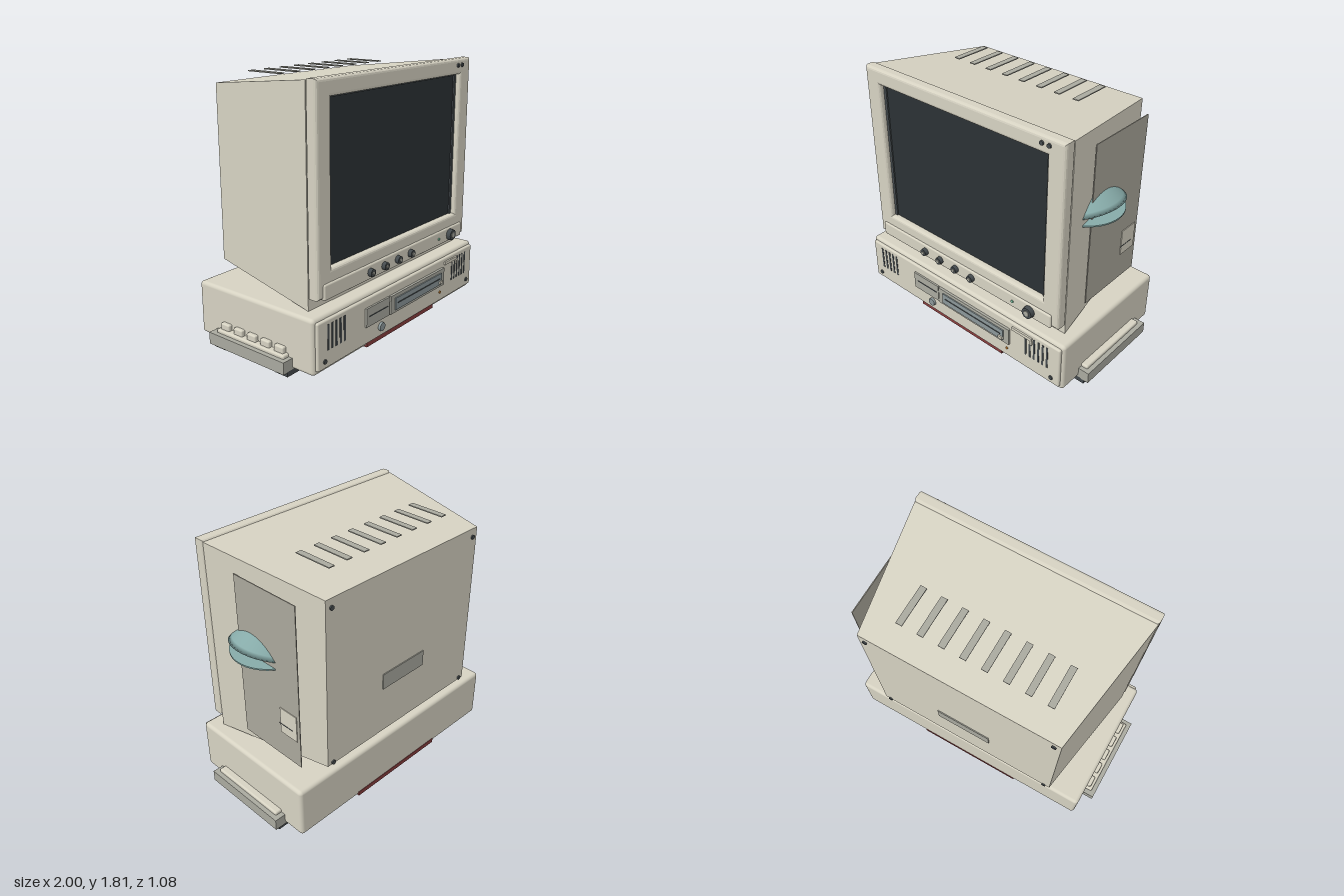
import * as THREE from 'three';
import { RoundedBoxGeometry } from 'three/addons/geometries/RoundedBoxGeometry.js';

export function createModel() {
  const group = new THREE.Group();
  const mat = (color, side = THREE.FrontSide) => new THREE.MeshStandardMaterial({ color, side });
  const beige = mat(0xd6d2c2), grey = mat(0xa9a99f), panelGrey = mat(0xaaa79b, THREE.DoubleSide);
  const dark = mat(0x454b4e), glass = mat(0x2b3134), slate = mat(0x8b9799), red = mat(0x853d3d);
  const teal = mat(0x86aaa8, THREE.DoubleSide), green = mat(0x7fc4a4), orange = mat(0xd08a3c);

  const add = (name, geometry, material, x = 0, y = 0, z = 0) => {
    const mesh = new THREE.Mesh(geometry, material);
    mesh.name = name;
    mesh.position.set(x, y, z);
    group.add(mesh);
    return mesh;
  };
  // Boxes given by their [min, max] on each axis, sharp or rounded
  const box = (name, m, [x0, x1], [y0, y1], [z0, z1], r = 0) => {
    const s = [x1 - x0, y1 - y0, z1 - z0];
    const g = r ? new RoundedBoxGeometry(...s, 3, r) : new THREE.BoxGeometry(...s);
    return add(name, g, m, (x0 + x1) / 2, (y0 + y1) / 2, (z0 + z1) / 2);
  };
  // Disc or knob whose axis runs along z
  const knob = (name, m, x, y, z, r, depth, sides = 20) =>
    add(name, new THREE.CylinderGeometry(r * 0.92, r, depth, sides).rotateX(Math.PI / 2), m, x, y, z);

  // Monitor shell: a box tapered towards the back
  const shell = new THREE.BoxGeometry(2, 2, 2);
  const p = shell.attributes.position;
  for (let i = 0; i < p.count; i++) {
    const front = p.getZ(i) > 0, top = p.getY(i) > 0;
    p.setXYZ(i, p.getX(i) * (front ? 0.835 : 0.69),
      top ? (front ? 1.8 : 1.7) : (front ? 0.41 : 0.495), front ? 0.37 : -0.53);
  }
  shell.computeVertexNormals();
  add('monitorShell', shell, beige);

  // Bezel with bevelled edges around the screen opening
  const rect = (s, x0, x1, y0, y1) => {
    s.moveTo(x0, y0); s.lineTo(x1, y0); s.lineTo(x1, y1); s.lineTo(x0, y1); s.closePath();
    return s;
  };
  const face = rect(new THREE.Shape(), -0.82, 0.82, 0.515, 1.79);
  face.holes.push(rect(new THREE.Path(), -0.73, 0.73, 0.65, 1.72));
  add('bezel', new THREE.ExtrudeGeometry(face, {
    depth: 0.045, bevelThickness: 0.02, bevelSize: 0.02, bevelSegments: 3,
  }), beige, 0, 0, 0.39);
  box('screen', glass, [-0.73, 0.73], [0.64, 1.73], [0.38, 0.41]);
  for (const s of [-1, 1]) box('screenFrameSide', dark, [s * 0.7 - 0.012, s * 0.7 + 0.012], [0.65, 1.72], [0.4, 0.42]);
  box('screenFrameTop', dark, [-0.7, 0.7], [1.69, 1.71], [0.4, 0.42]);

  // Control strip
  box('controlStrip', beige, [-0.795, 0.79], [0.487, 0.59], [0.38, 0.468], 0.012);
  for (let i = 0; i < 4; i++) {
    knob('controlKnob', dark, -0.347 + i * 0.151, 0.537, 0.48, 0.028, 0.03);
    knob('knobCap', grey, -0.347 + i * 0.151, 0.537, 0.497, 0.012, 0.006);
  }
  knob('powerKnob', dark, 0.62, 0.537, 0.482, 0.043, 0.036, 12);
  knob('powerKnobCap', grey, 0.62, 0.537, 0.5, 0.024, 0.006, 6);
  knob('monitorLight', green, 0.475, 0.537, 0.47, 0.011, 0.01);
  for (const x of [0.672, 0.725]) knob('bezelButton', dark, x, 1.765, 0.458, 0.015, 0.014);

  // Top vents, rear badge and rear screws
  for (let i = 0; i < 8; i++) {
    const x = -0.53 + i * 0.145;
    box('topVent', grey, [x - 0.022, x + 0.022], [1.772, 1.779], [-0.372, -0.092]);
  }
  box('rearBadge', grey, [-0.2, 0.195], [0.845, 0.96], [-0.537, -0.52]);
  for (const x of [-0.645, 0.645]) for (const y of [0.51, 1.64])
    knob('rearScrew', dark, x, y, -0.534, 0.016, 0.012, 12);

  // Side panel with label
  box('sidePanel', panelGrey, [0.806, 0.812], [0.495, 1.67], [-0.415, 0.125]);
  box('sideLabel', beige, [0.81, 0.817], [0.69, 0.88], [-0.39, -0.24]);
  box('labelSlot', dark, [0.816, 0.819], [0.755, 0.76], [-0.35, -0.23]);

  // Domed side visor, tilted upwards, above a thin disc
  const dome = [new THREE.Vector2(0, 0)];
  for (let i = 0; i <= 14; i++) {
    const t = 1 - i / 14;
    dome.push(new THREE.Vector2(0.27 * t, 0.206 * (1 - t * t)));
  }
  add('sideVisor', new THREE.LatheGeometry(dome, 48), teal, 0.663, 1.155, 0).rotation.z = 0.29;
  add('visorDisc', new THREE.CylinderGeometry(0.262, 0.262, 0.01, 48), teal, 0.663, 1.15, 0);

  // Neck between the monitor and the base
  add('neck', new THREE.CylinderGeometry(0.075, 0.075, 0.1, 16), dark, 0, 0.44, 0);
  const pad = add('neckPad', new THREE.SphereGeometry(0.065, 20, 10, 0, Math.PI * 2, 0, Math.PI / 2), red, 0, 0.4, -0.215);
  pad.scale.y = 0.65;

  // Base unit and its front plate
  box('baseUnit', beige, [-0.92, 0.92], [0.04, 0.41], [-0.52, 0.48], 0.025);
  box('basePlate', beige, [-0.9, 0.9], [0.07, 0.387], [0.44, 0.5], 0.012);
  box('bottomPlate', red, [-0.4, 0.395], [0.034, 0.068], [-0.523, 0.485]);
  add('bottomDisc', new THREE.CylinderGeometry(0.2, 0.2, 0.006, 32), dark, 0, 0.034, 0);

  // Front vents and latch
  for (let i = 0; i < 5; i++) {
    const x = -0.805 + i * 0.039;
    box('leftVent', dark, [x - 0.008, x + 0.008], [0.185, 0.355], [0.49, 0.503]);
  }
  for (let i = 0; i < 6; i++) {
    const x = 0.62 + i * 0.036;
    box('rightVent', dark, [x - 0.007, x + 0.007], [0.185, i < 2 ? 0.325 : 0.355], [0.49, 0.503]);
  }
  box('latchBar', beige, [0.505, 0.675], [0.337, 0.36], [0.49, 0.512]);
  box('latchEnd', beige, [0.66, 0.677], [0.305, 0.337], [0.49, 0.512]);

  // Drive bays
  box('smallBay', grey, [-0.44, -0.19], [0.195, 0.325], [0.49, 0.513]);
  box('smallBaySlot', dark, [-0.41, -0.21], [0.262, 0.268], [0.5, 0.516]);
  box('largeBay', grey, [-0.18, 0.485], [0.195, 0.325], [0.49, 0.518]);
  box('driveFace', slate, [-0.135, 0.44], [0.215, 0.3], [0.5, 0.526]);
  box('driveSlot', dark, [-0.11, 0.415], [0.258, 0.266], [0.51, 0.529]);
  box('ejectButton', beige, [0.405, 0.44], [0.225, 0.245], [0.51, 0.536]);
  knob('powerButton', slate, -0.268, 0.14, 0.506, 0.031, 0.02, 24);
  knob('driveLight', orange, 0.457, 0.14, 0.502, 0.01, 0.01);
  for (const x of [-0.838, 0.838]) knob('plateScrew', dark, x, 0.12, 0.502, 0.016, 0.012, 12);

  // Side rails and feet, mirrored
  const foot = (x, z, w, d, y0, y1) => box('foot', dark, [x - w, x + w], [y0, y1], [z - d, z + d]);
  for (const s of [-1, 1]) {
    const span = (a, b) => (s > 0 ? [a, b] : [-b, -a]);
    box('sideRail', grey, span(0.9, 1), [0.034, 0.115], [-0.355, 0.31]);
    box('railCap', beige, span(0.9, 0.968), [0.1, 0.137], [-0.32, 0.28], 0.012);
    foot(s * 0.725, 0.345, 0.058, 0.062, 0, 0.045);
    foot(s * 0.725, -0.385, 0.058, 0.062, 0, 0.045);
    foot(s * 0.91, -0.295, 0.056, 0.05, 0.005, 0.04);
    foot(s * 0.91, 0.26, 0.056, 0.05, 0.005, 0.04);
    for (const z of [-0.195, 0.195]) foot(s * 0.295, z, 0.043, 0.038, 0.018, 0.045);
  }
  // Keys along the right rail
  for (let i = 0; i < 5; i++) {
    const z = -0.262 + i * 0.12;
    box('railKey', beige, [-0.948, -0.91], [0.125, 0.178], [z - 0.04, z + 0.04], 0.01);
  }
  return group;
}
